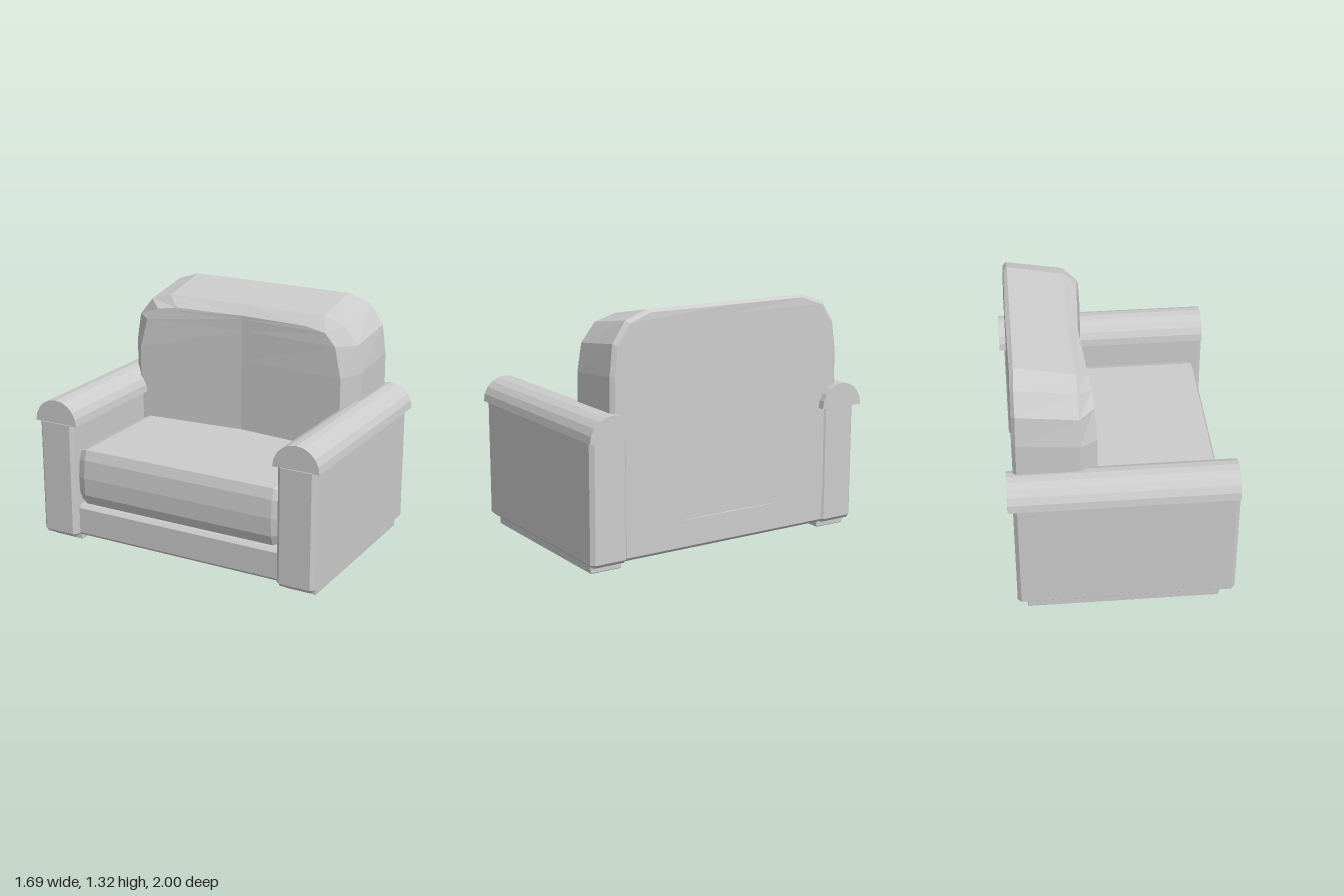
import * as THREE from 'three';
import { ConvexGeometry } from 'three/addons/geometries/ConvexGeometry.js';

const material = new THREE.MeshStandardMaterial({ color: 0xcccccc, flatShading: true, side: THREE.DoubleSide });

function part(name, geometry) {
  const mesh = new THREE.Mesh(geometry, material);
  mesh.name = name;
  return mesh;
}

// Box with chamfered edges, given by its limits
function chamferBox(x0, x1, y0, y1, z0, z1, c) {
  const points = [];
  for (const sx of [0, 1]) for (const sy of [0, 1]) for (const sz of [0, 1])
    for (const keep of [0, 1, 2]) {
      const inset = (axis) => (axis === keep ? 0 : c);
      points.push(new THREE.Vector3(
        sx ? x1 - inset(0) : x0 + inset(0),
        sy ? y1 - inset(1) : y0 + inset(1),
        sz ? z1 - inset(2) : z0 + inset(2)));
    }
  return new ConvexGeometry(points);
}

// Half-round bar running along x, flat side down
function halfRound(radius, length, sides) {
  const shape = new THREE.Shape();
  for (let i = 0; i <= sides; i++) {
    const a = (i / sides) * Math.PI;
    const x = radius * Math.cos(a), y = radius * Math.sin(a);
    if (i) shape.lineTo(x, y); else shape.moveTo(x, y);
  }
  const g = new THREE.ExtrudeGeometry(shape, { depth: length, bevelEnabled: false });
  return g.translate(0, 0, -length / 2).rotateY(Math.PI / 2);
}

// Cushion with a bulging front and softened side edges
function cushionGeometry() {
  const profile = [[-0.535, 0.235], [-0.555, 0.29], [-0.56, 0.39], [-0.55, 0.49], [-0.53, 0.545], [0.35, 0.545], [0.35, 0.235]];
  const points = [];
  for (const s of [-1, 1]) for (const [x, y] of profile) {
    points.push(new THREE.Vector3(x, y, s * 0.57));
    points.push(new THREE.Vector3(x + (x < 0 ? 0.02 : 0), 0.39 + (y - 0.39) * 0.88, s * 0.62));
  }
  return new ConvexGeometry(points);
}

// Backrest lofted through arched sections from front to back
function backrestGeometry() {
  // each half section: [depth, half width, height] from the bottom to the crown
  const halves = [
    [[0.12, 0.626, 0.18], [0.12, 0.626, 0.95], [0.13, 0.585, 1.12], [0.14, 0.52, 1.185], [0.15, 0.4, 1.205]],
    [[0.214, 0.705, 0.18], [0.214, 0.705, 0.97], [0.214, 0.68, 1.12], [0.214, 0.6, 1.22], [0.214, 0.48, 1.255]],
    [[0.535, 0.71, 0.18], [0.535, 0.705, 1.0], [0.53, 0.685, 1.16], [0.53, 0.61, 1.27], [0.525, 0.48, 1.315]],
    [[0.555, 0.69, 0.18], [0.553, 0.685, 1.0], [0.55, 0.665, 1.15], [0.548, 0.595, 1.255], [0.545, 0.47, 1.3]],
  ];
  const midDepth = [0.172, 0.225, 0.525, 0.55];
  const pos = [];
  const quad = (a, b, c, d) => pos.push(...a, ...b, ...c, ...a, ...c, ...d);
  const right = halves.map((h) => h.map(([x, w, y]) => [x, y, w]));
  const left = halves.map((h) => h.map(([x, w, y]) => [x, y, -w]));
  const mid = halves.map((h, k) => h.map(([, , y]) => [midDepth[k], y, 0]));
  const loops = halves.map((h, k) => [...right[k], mid[k][4], ...[...left[k]].reverse()]);
  for (let k = 0; k < 3; k++)
    for (let i = 0; i < loops[k].length - 1; i++)
      quad(loops[k][i], loops[k + 1][i], loops[k + 1][i + 1], loops[k][i + 1]);
  // front face hollowed along the middle, and the back face
  for (let i = 0; i < 4; i++) {
    quad(mid[0][i], right[0][i], right[0][i + 1], mid[0][i + 1]);
    quad(left[0][i], mid[0][i], mid[0][i + 1], left[0][i + 1]);
    quad(right[3][i], mid[3][i], mid[3][i + 1], right[3][i + 1]);
    quad(mid[3][i], left[3][i], left[3][i + 1], mid[3][i + 1]);
  }
  const g = new THREE.BufferGeometry();
  g.setAttribute('position', new THREE.Float32BufferAttribute(pos, 3));
  g.computeVertexNormals();
  return g;
}

export function createModel() {
  const sofa = new THREE.Group();
  sofa.name = 'sofa';

  // Seat and back
  sofa.add(part('seatBase', chamferBox(-0.55, 0.553, 0.042, 0.222, -0.64, 0.64, 0.018)));
  sofa.add(part('seatCushion', cushionGeometry()));
  sofa.add(part('backrest', backrestGeometry()));

  // Arms with rolled tops and the runners beneath them
  for (const s of [-1, 1]) {
    const arm = new THREE.Group();
    arm.name = s > 0 ? 'leftArm' : 'rightArm';
    const lo = (a, b) => Math.min(s * a, s * b), hi = (a, b) => Math.max(s * a, s * b);
    arm.add(part('armPanel', chamferBox(-0.592, 0.562, 0.038, 0.71, lo(0.615, 0.83), hi(0.615, 0.83), 0.02)));
    const roll = part('armRoll', halfRound(0.13, 1.18, 10));
    roll.position.set(0, 0.69, s * 0.72);
    arm.add(roll);
    arm.add(part('runner', chamferBox(-0.51, 0.51, 0, 0.06, lo(0.63, 0.81), hi(0.63, 0.81), 0.004)));
    sofa.add(arm);
  }

  // The sofa stands turned on the floor
  sofa.rotation.y = THREE.MathUtils.degToRad(20);
  const model = new THREE.Group();
  model.name = 'model';
  model.add(sofa);
  return model;
}
